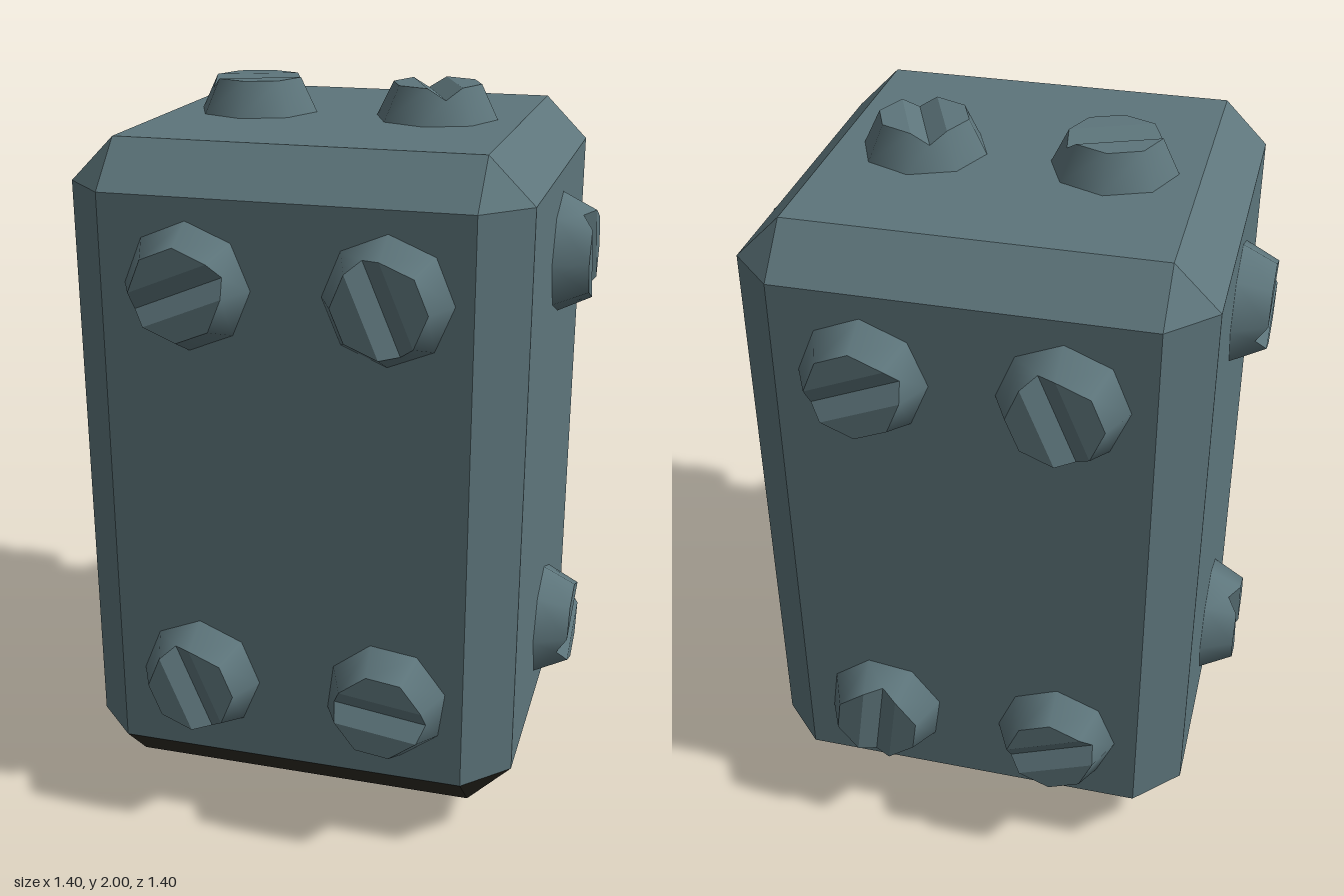
import * as THREE from 'three';

const HALF = [0.605, 0.907, 0.605]; // half sizes of the body
const BEVEL = 0.12;
const MID_Y = 1;

function buildGeometry(positions, normals) {
  const g = new THREE.BufferGeometry();
  g.setAttribute('position', new THREE.Float32BufferAttribute(positions, 3));
  if (normals) g.setAttribute('normal', new THREE.Float32BufferAttribute(normals, 3));
  else g.computeVertexNormals();
  return g;
}

// Bevelled block, split into shell, lower bevels and underside
function createBody() {
  const parts = { shell: [], lowerBevel: [], underside: [] };

  // Corner point lying on the full-size face of the given axis
  const corner = (signs, axis) => new THREE.Vector3(
    ...signs.map((s, i) => s * (i === axis ? HALF[i] : HALF[i] - BEVEL)));

  // Convex polygon turned to face away from the centre
  const addFace = (part, pts) => {
    const n = pts[1].clone().sub(pts[0]).cross(pts[2].clone().sub(pts[0]));
    if (n.dot(pts[0]) < 0) pts.reverse();
    for (let i = 1; i < pts.length - 1; i++) {
      for (const p of [pts[0], pts[i], pts[i + 1]]) parts[part].push(p.x, p.y, p.z);
    }
  };

  for (let a = 0; a < 3; a++) {
    const b = (a + 1) % 3, c = (a + 2) % 3;
    const signs = (sa, sb, sc) => {
      const s = [0, 0, 0];
      s[a] = sa; s[b] = sb; s[c] = sc;
      return s;
    };
    for (const s of [1, -1]) {
      // Flat panel
      addFace(a === 1 && s < 0 ? 'underside' : 'shell',
        [[1, 1], [-1, 1], [-1, -1], [1, -1]].map(([u, v]) => corner(signs(s, u, v), a)));
      // Edge bevels between axes a and b
      for (const t of [1, -1]) {
        const low = signs(s, t, 0)[1] < 0;
        addFace(low ? 'lowerBevel' : 'shell', [
          corner(signs(s, t, 1), a), corner(signs(s, t, 1), b),
          corner(signs(s, t, -1), b), corner(signs(s, t, -1), a)]);
      }
    }
  }
  // Corner triangles
  for (const x of [1, -1]) for (const y of [1, -1]) for (const z of [1, -1]) {
    addFace(y < 0 ? 'lowerBevel' : 'shell', [0, 1, 2].map((axis) => corner([x, y, z], axis)));
  }
  return parts;
}

// Eight-sided tapered screw head with a V slot along local x, facing +z
function createScrewGeometry() {
  const R0 = 0.168, R1 = 0.122, H = 0.093, DEPTH = 0.03;
  const pos = [], nor = [];
  const tri = (pts, smooth) => {
    const [a, b, c] = pts;
    const flat = b.clone().sub(a).cross(c.clone().sub(a)).normalize();
    for (const p of pts) {
      const n = smooth
        ? new THREE.Vector3(p.x, p.y, 0).normalize().setZ((R0 - R1) / H).normalize() : flat;
      pos.push(p.x, p.y, p.z);
      nor.push(n.x, n.y, n.z);
    }
  };
  const fan = (pts, smooth) => {
    for (let i = 1; i < pts.length - 1; i++) tri([pts[0], pts[i], pts[i + 1]], smooth);
  };
  const ring = (r, z) => Array.from({ length: 8 }, (_, k) => {
    const t = (k - 0.5) * Math.PI / 4;
    return new THREE.Vector3(r * Math.cos(t), r * Math.sin(t), z);
  });
  const base = ring(R0, 0), top = ring(R1, H);

  // Slot floor ends, lying on the tapered sides
  const endX = Math.cos(Math.PI / 8) * (R1 + (R0 - R1) * DEPTH / H);
  const endR = new THREE.Vector3(endX, 0, H - DEPTH);
  const endL = new THREE.Vector3(-endX, 0, H - DEPTH);

  // Tapered sides, notched where the slot exits
  for (let k = 0; k < 8; k++) {
    const n = (k + 1) % 8;
    if (k % 4 === 0) {
      const m = k === 0 ? endR : endL;
      fan([m, top[k], base[k], base[n], top[n]], true);
    } else {
      fan([base[k], base[n], top[n], top[k]], true);
    }
  }
  // Two cap halves and the two slot walls
  fan([top[1], top[2], top[3], top[4]], false);
  fan([top[5], top[6], top[7], top[0]], false);
  fan([endL, endR, top[1], top[4]], false);
  fan([endR, endL, top[5], top[0]], false);
  return buildGeometry(pos, nor);
}

export function createModel() {
  const model = new THREE.Group();
  model.name = 'boltedBlock';

  const steel = new THREE.MeshStandardMaterial({ color: 0x5d757b });
  steel.name = 'blueGreySteel';
  const dark = new THREE.MeshStandardMaterial({ color: 0x2f2d24 });
  dark.name = 'darkBevel';
  const brown = new THREE.MeshStandardMaterial({ color: 0x3a1b08 });
  brown.name = 'darkBrown';

  const add = (name, geometry, material, parent) => {
    const mesh = new THREE.Mesh(geometry, material);
    mesh.name = name;
    parent.add(mesh);
    return mesh;
  };

  const body = new THREE.Group();
  body.name = 'body';
  body.position.y = MID_Y;
  model.add(body);
  const parts = createBody();
  add('shell', buildGeometry(parts.shell), steel, body);
  add('lowerBevel', buildGeometry(parts.lowerBevel), dark, body);
  add('underside', buildGeometry(parts.underside), brown, body);

  // Each side: right and up directions, then screws as [across, up, slot angle]
  const sides = [
    ['front', [1, 0, 0], [0, 1, 0],
      [[-0.25, 0.56, 22.5], [0.27, 0.56, 112.5], [-0.25, -0.555, 112.5], [0.275, -0.555, -7.5]]],
    ['back', [-1, 0, 0], [0, 1, 0],
      [[-0.25, 0.555, 22.5], [0.255, 0.555, 112.5], [-0.25, -0.575, 82.5], [0.255, -0.575, 22.5]]],
    ['left', [0, 0, -1], [0, 1, 0], [[0.018, 0.555, 112.5], [0.018, -0.575, 22.5]]],
    ['right', [0, 0, 1], [0, 1, 0], [[-0.018, 0.56, 22.5], [-0.018, -0.555, 112.5]]],
    ['top', [1, 0, 0], [0, 0, -1], [[-0.258, 0.018, 22.5], [0.25, 0.018, 112.5]]],
    ['bottom', [-1, 0, 0], [0, 0, -1], [[-0.245, 0.01, 22.5], [0.28, 0.01, 112.5]]],
  ];
  const screwGeometry = createScrewGeometry();
  for (const [side, r, u, screws] of sides) {
    const right = new THREE.Vector3(...r), up = new THREE.Vector3(...u);
    const out = right.clone().cross(up);
    const group = new THREE.Group();
    group.name = side + 'Screws';
    group.quaternion.setFromRotationMatrix(new THREE.Matrix4().makeBasis(right, up, out));
    group.position.copy(out).multiplyScalar(Math.abs(out.y) > 0.5 ? HALF[1] : HALF[0]);
    for (const [x, y, angle] of screws) {
      const screw = add('screw', screwGeometry, steel, group);
      screw.position.set(x, y, 0);
      screw.rotation.z = THREE.MathUtils.degToRad(angle);
    }
    body.add(group);
  }
  return model;
}
